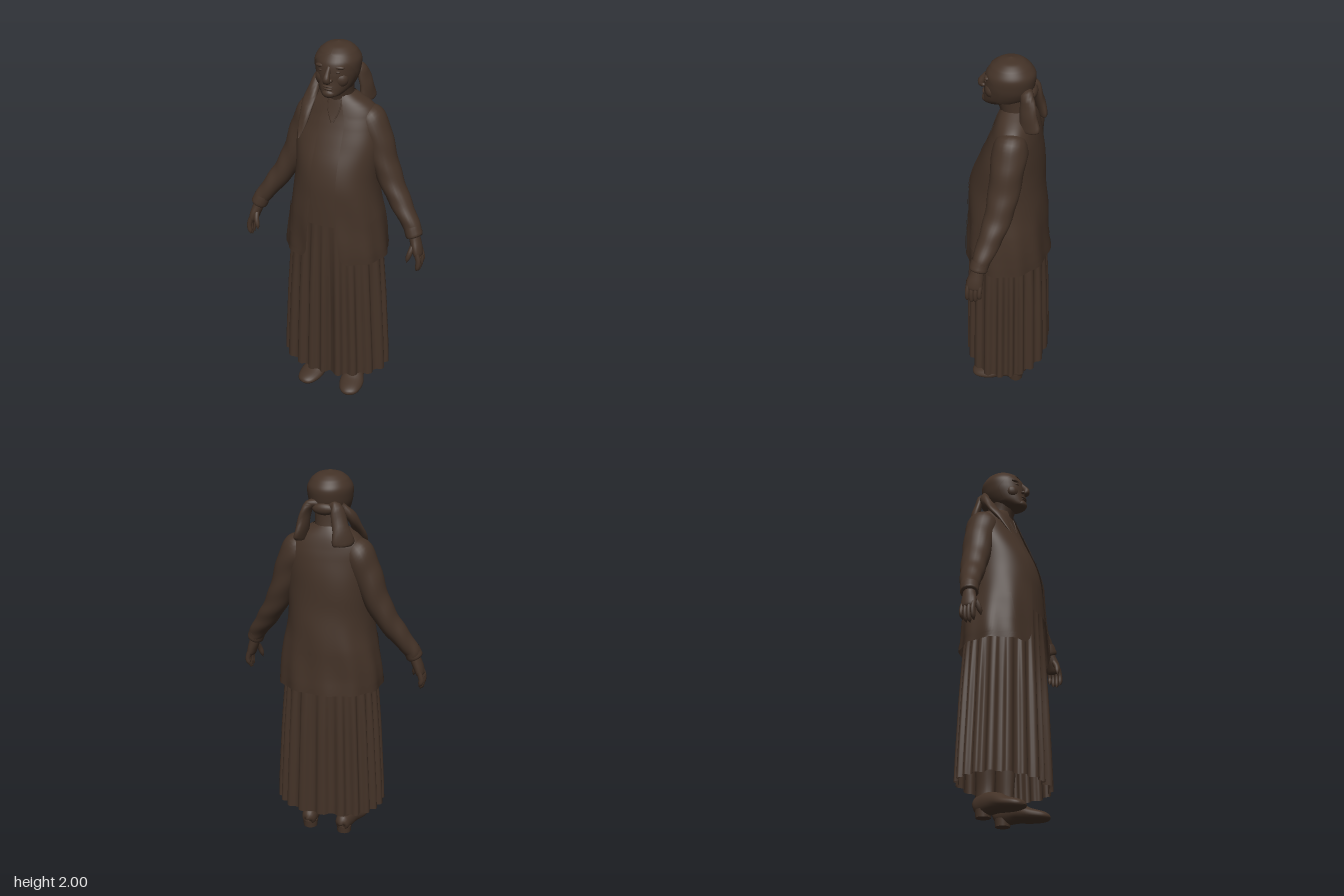
import * as THREE from 'three';

const V = (x, y, z) => new THREE.Vector3(x, y, z);
const brown = new THREE.MeshStandardMaterial({ color: 0x433227, side: THREE.DoubleSide });
brown.name = 'dark brown';

// Smooth lookup in a table of rows; k is a fractional row index
function sample(rows, k) {
  const n = rows.length - 1;
  const i = Math.min(n - 1, Math.max(0, Math.floor(k)));
  const t = k - i;
  const [a, b, c, d] = [rows[Math.max(0, i - 1)], rows[i], rows[i + 1], rows[Math.min(n, i + 2)]];
  return b.map((_, m) => 0.5 * (2 * b[m] + (c[m] - a[m]) * t
    + (2 * a[m] - 5 * b[m] + 4 * c[m] - d[m]) * t * t
    + (3 * b[m] - a[m] - 3 * c[m] + d[m]) * t * t * t));
}

// Same lookup by height, for tables whose first column is y
function atHeight(rows, y) {
  let i = 0;
  while (i < rows.length - 2 && y > rows[i + 1][0]) i++;
  return sample(rows, i + (y - rows[i][0]) / (rows[i + 1][0] - rows[i][0]));
}

// Skin over rings of points
function loft(rings, closed = true) {
  const n = rings[0].length, pos = [], idx = [];
  rings.forEach(r => r.forEach(p => pos.push(p.x, p.y, p.z)));
  for (let i = 0; i < rings.length - 1; i++) {
    for (let j = 0; j < (closed ? n : n - 1); j++) {
      const a = i * n + j, b = i * n + (j + 1) % n;
      idx.push(a, b, b + n, a, b + n, a + n);
    }
  }
  const g = new THREE.BufferGeometry();
  g.setAttribute('position', new THREE.Float32BufferAttribute(pos, 3));
  g.setIndex(idx);
  g.computeVertexNormals();
  return g;
}

// Point on an upright profile [y, half width, front z, back z]; box < 1 squares the outline
const BOX = 0.93;
function onShell(rows, a, y, d, box) {
  const [, rx, zf, zb] = atHeight(rows, y);
  const bend = v => Math.sign(v) * Math.pow(Math.abs(v), box);
  return V((Math.max(0, rx) + d) * bend(Math.sin(a)), y,
    (zf + zb) / 2 + ((zf - zb) / 2 + d) * bend(Math.cos(a)));
}

// Upright shell, closed or open between two angles
function shell(rows, y0, y1, { steps = 30, segs = 64, from = null, to = null, fold = () => 0, box = BOX, dome = false } = {}) {
  const rings = [];
  for (let i = 0; i <= steps; i++) {
    const t = i / steps, y = y0 + (y1 - y0) * (dome ? Math.sin(t * Math.PI / 2) : t);
    const a0 = from ? from(y) : 0, a1 = to ? to(y) : Math.PI * 2;
    rings.push(Array.from({ length: from ? segs + 1 : segs }, (_, j) => {
      const a = a0 + (a1 - a0) * j / segs;
      return onShell(rows, a, y, fold(a, y), box);
    }));
  }
  return loft(rings, !from);
}

// Limb along a path; rows are [x, y, z, radius toward ref, radius across]
function limb(rows, ref = V(0, 0, 1), steps = 20, segs = 18, wrinkle = 0) {
  const rings = [], n = rows.length - 1;
  for (let i = 0; i <= steps; i++) {
    const k = n * i / steps, s = sample(rows, k);
    const p = sample(rows, Math.max(0, k - 0.05)), q = sample(rows, Math.min(n, k + 0.05));
    const T = V(q[0] - p[0], q[1] - p[1], q[2] - p[2]).normalize();
    const N = ref.clone().addScaledVector(T, -ref.dot(T)).normalize();
    const S = T.clone().cross(N);
    rings.push(Array.from({ length: segs }, (_, j) => {
      const a = j / segs * Math.PI * 2, w = wrinkle * Math.sin(k * 5 + Math.sin(a) * 3);
      return V(s[0], s[1], s[2])
        .addScaledVector(N, Math.max(0, s[3] + w) * Math.cos(a))
        .addScaledVector(S, Math.max(0, s[4] + w) * Math.sin(a));
    }));
  }
  return loft(rings);
}

export function createModel() {
  const model = new THREE.Group();
  const add = (name, geo, parent = model) => {
    const m = new THREE.Mesh(geo, brown);
    m.name = name;
    parent.add(m);
    return m;
  };
  const ball = (name, x, y, z, sx, sy, sz) => {
    const m = add(name, new THREE.SphereGeometry(1, 20, 14));
    m.position.set(x, y, z);
    m.scale.set(sx, sy, sz);
  };

  // Torso profile shared by blouse and cardigan
  const torso = [
    [0.87, 0.274, 0.213, -0.214], [0.95, 0.27, 0.211, -0.209], [1.1, 0.249, 0.207, -0.203],
    [1.2, 0.23, 0.203, -0.195], [1.3, 0.219, 0.194, -0.187], [1.4, 0.219, 0.169, -0.181],
    [1.5, 0.222, 0.126, -0.171], [1.6, 0.21, 0.082, -0.157], [1.66, 0.187, 0.06, -0.143],
    [1.7, 0.14, 0.048, -0.128], [1.74, 0.072, 0.036, -0.104]];
  add('blouse', shell(torso, 1.08, 1.735, { fold: () => -0.008 }));

  // Skirt with broad uneven pleats and a deep fold at the front
  const skirt = [[0.17, 0.288, 0.214, -0.214], [0.5, 0.27, 0.207, -0.206],
    [0.85, 0.248, 0.198, -0.195], [1.13, 0.222, 0.19, -0.18]];
  const pleat = (a, y) => {
    const depth = Math.min(1, (1.2 - y) / 0.6), f = Math.atan2(Math.sin(a - 0.1), Math.cos(a - 0.1));
    return 0.012 * depth * Math.tanh(1.8 * Math.sin(20 * a + 1.3 * Math.sin(3 * a) + 0.7))
      + 0.004 * Math.sin(5 * a + 1) - 0.025 * depth * Math.exp(-f * f / 0.006);
  };
  add('skirt', shell(skirt, 0.17, 1.13, { steps: 14, segs: 240, fold: pleat, box: 0.97 }));

  // Open cardigan with front bands, hem and pockets
  const gap = y => {
    const half = 0.068 + 0.03 * Math.max(0, (1.2 - y) / 0.33)
      + 0.03 * Math.pow(Math.max(0, (0.92 - y) / 0.05), 2) - Math.max(0, y - 1.6) * 0.25;
    return Math.asin(Math.pow(Math.min(0.95, half / atHeight(torso, y)[1]), 1 / BOX));
  };
  const drape = (a, y) => 0.005 * Math.sin(11 * a + 4 * y) * Math.max(0, (1.25 - y) / 0.38)
    + 0.002 * Math.sin(20 * y + 3 * a);
  const over = d => (a, y) => drape(a, y) + d;
  const whole = { from: gap, to: y => Math.PI * 2 - gap(y) };
  add('cardigan', shell(torso, 0.87, 1.735, { steps: 44, segs: 96, fold: drape, ...whole }));
  add('hemBand', shell(torso, 0.872, 0.9, { steps: 3, segs: 96, fold: over(0.003), ...whole }));
  for (const s of [1, -1]) {
    const span = (a, b) => (s > 0 ? { from: a, to: b } : { from: y => -b(y), to: y => -a(y) });
    add('frontBand', shell(torso, 0.88, 1.73, { steps: 40, segs: 6, fold: over(0.004),
      ...span(gap, y => gap(y) + 0.1) }));
    add('pocket', shell(torso, 0.98, 1.13, { steps: 8, segs: 10, fold: over(0.005),
      ...span(y => 0.72 + (y - 0.98), () => 1.2) }));
    // V neckline of the blouse
    const line = Array.from({ length: 6 }, (_, i) =>
      onShell(torso, s * (0.01 + 0.05 * i), 1.6 + 0.022 * i, -0.009, BOX));
    add('neckline', new THREE.TubeGeometry(new THREE.CatmullRomCurve3(line), 16, 0.004, 6));
  }

  // Arms, hands, legs and shoes, mirrored left to right
  for (const s of [1, -1]) {
    const side = new THREE.Group();
    side.name = s > 0 ? 'leftLimbs' : 'rightLimbs';
    const put = (name, rows, ...rest) =>
      add(name, limb(rows.map(r => [r[0] * s, ...r.slice(1)]), ...rest), side);
    put('sleeve', [[0.1, 1.65, -0.05, 0.04, 0.03], [0.15, 1.605, -0.05, 0.085, 0.08],
      [0.2, 1.5, -0.045, 0.084, 0.078], [0.25, 1.37, -0.036, 0.077, 0.067],
      [0.305, 1.26, -0.02, 0.068, 0.059], [0.365, 1.17, 0.004, 0.058, 0.052],
      [0.425, 1.085, 0.029, 0.046, 0.043], [0.443, 1.045, 0.038, 0.04, 0.038]],
      V(0, 0, 1), 48, 24, 0.0018);
    put('cuff', [[0.425, 1.09, 0.031, 0.047, 0.043], [0.434, 1.065, 0.037, 0.047, 0.044],
      [0.445, 1.04, 0.041, 0.043, 0.04], [0.445, 1.04, 0.041, 0, 0]], V(0, 0, 1), 9);
    put('palm', [[0.438, 1.06, 0.04, 0.03, 0.028], [0.45, 1.02, 0.045, 0.036, 0.028],
      [0.464, 0.98, 0.052, 0.042, 0.026], [0.474, 0.945, 0.055, 0.038, 0.02],
      [0.477, 0.935, 0.055, 0, 0]], V(0, 0, 1), 14);
    for (let f = 0; f < 4; f++) {
      const z = 0.022 + f * 0.021, tip = [0.88, 0.862, 0.856, 0.866][f];
      put('finger', [[0.472, 0.965, z, 0.012, 0.014], [0.484, 0.925, z + 0.002, 0.012, 0.014],
        [0.481, tip + 0.02, z + 0.003, 0.011, 0.012], [0.473, tip, z + 0.004, 0, 0]], V(0, 0, 1), 10, 10);
    }
    put('thumb', [[0.45, 1.01, 0.06, 0.015, 0.016], [0.44, 0.97, 0.086, 0.015, 0.014],
      [0.43, 0.935, 0.096, 0.012, 0.012], [0.425, 0.91, 0.1, 0, 0]], V(0, 0, 1), 10, 10);
    put('leg', [[0.11, 0.6, -0.03, 0.07, 0.065], [0.1, 0.3, -0.05, 0.056, 0.045],
      [0.096, 0.15, -0.056, 0.05, 0.034], [0.098, 0.06, -0.056, 0.05, 0.038]]);
    put('shoe', [[0.096, 0.055, -0.113, 0, 0], [0.096, 0.058, -0.106, 0.04, 0.034],
      [0.1, 0.066, -0.055, 0.058, 0.046], [0.109, 0.063, 0.015, 0.051, 0.055],
      [0.12, 0.045, 0.08, 0.037, 0.067], [0.13, 0.035, 0.14, 0.027, 0.055],
      [0.135, 0.03, 0.17, 0.016, 0.032], [0.137, 0.028, 0.18, 0, 0]], V(0, 1, 0), 30, 20);
    const heel = add('heel', new THREE.CylinderGeometry(0.042, 0.038, 0.04, 18), side);
    heel.position.set(0.098 * s, 0.02, -0.066);
    model.add(side);
  }

  // Neck and head
  add('neck', limb([[0, 1.62, -0.045, 0.08, 0.085], [0, 1.72, -0.033, 0.072, 0.07],
    [0, 1.8, -0.015, 0.083, 0.077]]));
  const head = [[1.745, 0, 0.1, 0.06], [1.755, 0.045, 0.128, 0.0], [1.785, 0.078, 0.126, -0.08],
    [1.83, 0.098, 0.12, -0.112], [1.87, 0.107, 0.118, -0.124], [1.92, 0.108, 0.109, -0.126],
    [1.96, 0.086, 0.079, -0.1], [1.985, 0.053, 0.042, -0.066], [2, 0, -0.008, -0.012]];
  add('head', shell(head, 1.745, 1.995, { steps: 40, segs: 40, box: 1 }));

  // Face
  add('nose', limb([[0, 1.91, 0.102, 0.006, 0.01], [0, 1.875, 0.122, 0.016, 0.013],
    [0, 1.848, 0.138, 0.017, 0.018], [0, 1.83, 0.132, 0.01, 0.017], [0, 1.826, 0.125, 0, 0]], V(0, 0, 1), 16, 14));
  for (const s of [1, -1]) {
    ball('nostril', 0.016 * s, 1.84, 0.122, 0.01, 0.01, 0.014);
    ball('brow', 0.04 * s, 1.902, 0.09, 0.036, 0.012, 0.018);
    ball('eye', 0.04 * s, 1.881, 0.098, 0.018, 0.007, 0.012);
    ball('cheek', 0.04 * s, 1.838, 0.07, 0.046, 0.045, 0.038);
  }
  ball('upperLip', 0, 1.808, 0.115, 0.03, 0.007, 0.016);
  ball('lowerLip', 0, 1.796, 0.115, 0.026, 0.007, 0.016);
  ball('chin', 0, 1.77, 0.11, 0.034, 0.023, 0.024);

  // Headscarf: cap open around the face, knot and loose tails
  const brim = y => 1.4 * Math.sqrt(Math.max(0, Math.min(1, (1.955 - y) / 0.1)));
  add('headscarf', shell(head, 1.785, 2, { steps: 40, segs: 48, box: 1, dome: true,
    fold: (a, y) => 0.005 * Math.min(1, (2 - y) / 0.02), from: brim, to: y => Math.PI * 2 - brim(y) }));
  ball('scarfKnot', 0, 1.825, -0.112, 0.06, 0.032, 0.03);
  const tail = (rows, ref) => add('scarfTail', limb(rows, ref, 18, 16, 0.002));
  tail([[0.03, 1.85, -0.1, 0.02, 0.025], [0.08, 1.835, -0.11, 0.035, 0.022],
    [0.1, 1.76, -0.122, 0.046, 0.022], [0.114, 1.675, -0.13, 0.054, 0.02], [0.115, 1.668, -0.13, 0, 0]], V(-0.3, 0, 1));
  tail([[-0.03, 1.84, -0.1, 0.015, 0.025], [-0.065, 1.835, -0.115, 0.032, 0.022],
    [-0.09, 1.75, -0.13, 0.043, 0.022], [-0.11, 1.66, -0.138, 0.055, 0.022], [-0.11, 1.655, -0.138, 0, 0]], V(-1, 0, 0.7));
  tail([[-0.075, 1.84, -0.08, 0.015, 0.025], [-0.12, 1.79, -0.06, 0.028, 0.025],
    [-0.145, 1.7, 0.005, 0.018, 0.036], [-0.15, 1.62, 0.065, 0.014, 0.033],
    [-0.16, 1.51, 0.125, 0, 0.006]], V(-0.3, 0.3, 1));

  return model;
}
